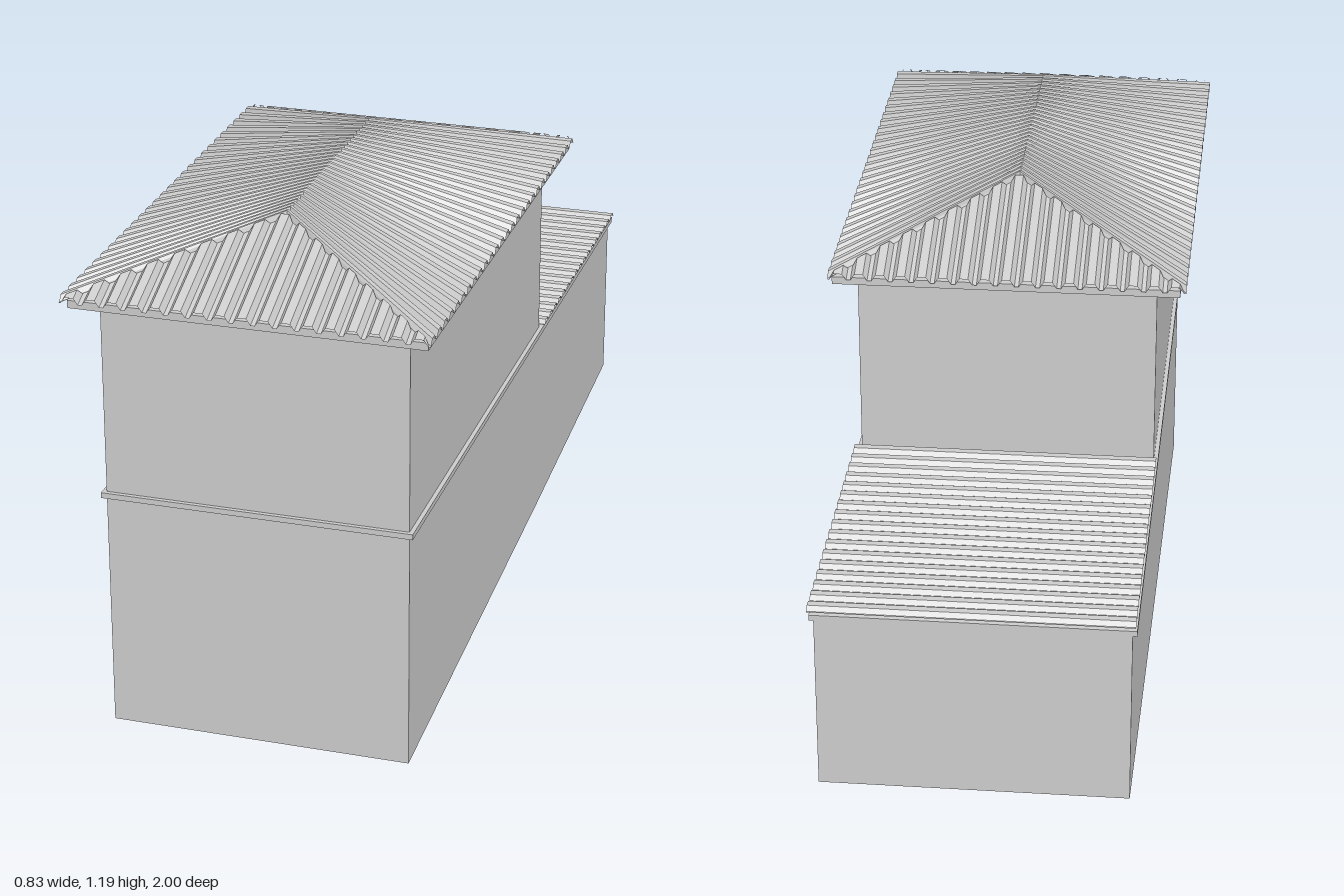
import * as THREE from 'three';

const wallMaterial = new THREE.MeshStandardMaterial({ color: 0xcccccc, flatShading: true });
const sheetMaterial = new THREE.MeshStandardMaterial({ color: 0xcccccc, flatShading: true, side: THREE.DoubleSide });

// One corrugation: [position within the period, height from 0 to 1]
const WAVE = [[0, 0], [0.1, 0], [0.3, 1], [0.7, 1], [0.9, 0]];

function addMesh(group, name, geometry, material = wallMaterial) {
  const mesh = new THREE.Mesh(geometry, material);
  mesh.name = name;
  group.add(mesh);
  return mesh;
}

// Box given by its limits on each axis
function addBox(group, name, [x0, x1], [y0, y1], [z0, z1]) {
  const mesh = addMesh(group, name, new THREE.BoxGeometry(x1 - x0, y1 - y0, z1 - z0));
  mesh.position.set((x0 + x1) / 2, (y0 + y1) / 2, (z0 + z1) / 2);
}

// Corrugated sheet: edges(t) gives the two ends of the line at t in 0..1
function corrugatedSheet(waves, height, edges) {
  const positions = [], indices = [];
  const addLine = (t, h) => {
    for (const [x, y, z] of edges(t)) positions.push(x, y + h * height, z);
  };
  for (let i = 0; i < waves; i++) {
    for (const [p, h] of WAVE) addLine((i + p) / waves, h);
  }
  addLine(1, 0);
  for (let k = 0; k < waves * WAVE.length; k++) {
    const a = 2 * k;
    indices.push(a, a + 2, a + 1, a + 1, a + 2, a + 3);
  }
  const geometry = new THREE.BufferGeometry();
  geometry.setAttribute('position', new THREE.Float32BufferAttribute(positions, 3));
  geometry.setIndex(indices);
  geometry.computeVertexNormals();
  return geometry;
}

export function createModel() {
  const model = new THREE.Group();
  model.name = 'house';
  const wallX = [-0.345, 0.352];

  // Lower storey: side outline with the base following the sloping ground
  const outline = new THREE.Shape([
    [-0.935, 0], [0.22, 0.079], [0.998, 0.143], [0.998, 0.57], [-0.935, 0.57],
  ].map(([x, y]) => new THREE.Vector2(x, y)));
  const lower = new THREE.ExtrudeGeometry(outline, { depth: wallX[1] - wallX[0], bevelEnabled: false });
  lower.rotateY(Math.PI / 2).translate(wallX[0], 0, 0);
  addMesh(model, 'lowerStorey', lower);

  // Floor band, upper storey and eaves slab
  addBox(model, 'floorBand', [-0.355, 0.362], [0.565, 0.578], [-1, 0.945]);
  addBox(model, 'upperStorey', wallX, [0.57, 1.04], [-0.225, 0.935]);
  addBox(model, 'eavesSlab', [-0.4, 0.405], [1.033, 1.051], [-0.277, 0.985]);

  // Flat corrugated roof over the rear part
  addMesh(model, 'rearRoof', corrugatedSheet(17, 0.01, (t) => {
    const z = -1 + 0.775 * t;
    return [[-0.352, 0.585, z], [0.367, 0.585, z]];
  }), sheetMaterial);

  // Hipped roof
  const roof = new THREE.Group();
  roof.name = 'hippedRoof';
  model.add(roof);
  const half = 0.414, eaveY = 1.049, ridgeY = 1.175, wave = 0.014;
  const eaveZ = [-0.287, 1], ridgeZ = [0.05, 0.69];
  const lerp = THREE.MathUtils.lerp;

  // Long slopes: corrugations fan out from the ridge to the eaves
  for (const side of [-1, 1]) {
    addMesh(roof, side > 0 ? 'leftSlope' : 'rightSlope', corrugatedSheet(27, wave, (t) => [
      [side * half, eaveY, lerp(eaveZ[0], eaveZ[1], t)],
      [0, ridgeY, lerp(ridgeZ[0], ridgeZ[1], t)],
    ]), sheetMaterial);
  }

  // End slopes: parallel corrugations cut off along the hips
  ['backSlope', 'frontSlope'].forEach((name, i) => {
    addMesh(roof, name, corrugatedSheet(17, wave, (t) => {
      const x = half * (2 * t - 1);
      const rise = 1 - Math.abs(x) / half;
      return [
        [x, eaveY, eaveZ[i]],
        [x, lerp(eaveY, ridgeY, rise), lerp(eaveZ[i], ridgeZ[i], rise)],
      ];
    }), sheetMaterial);
  });

  return model;
}
